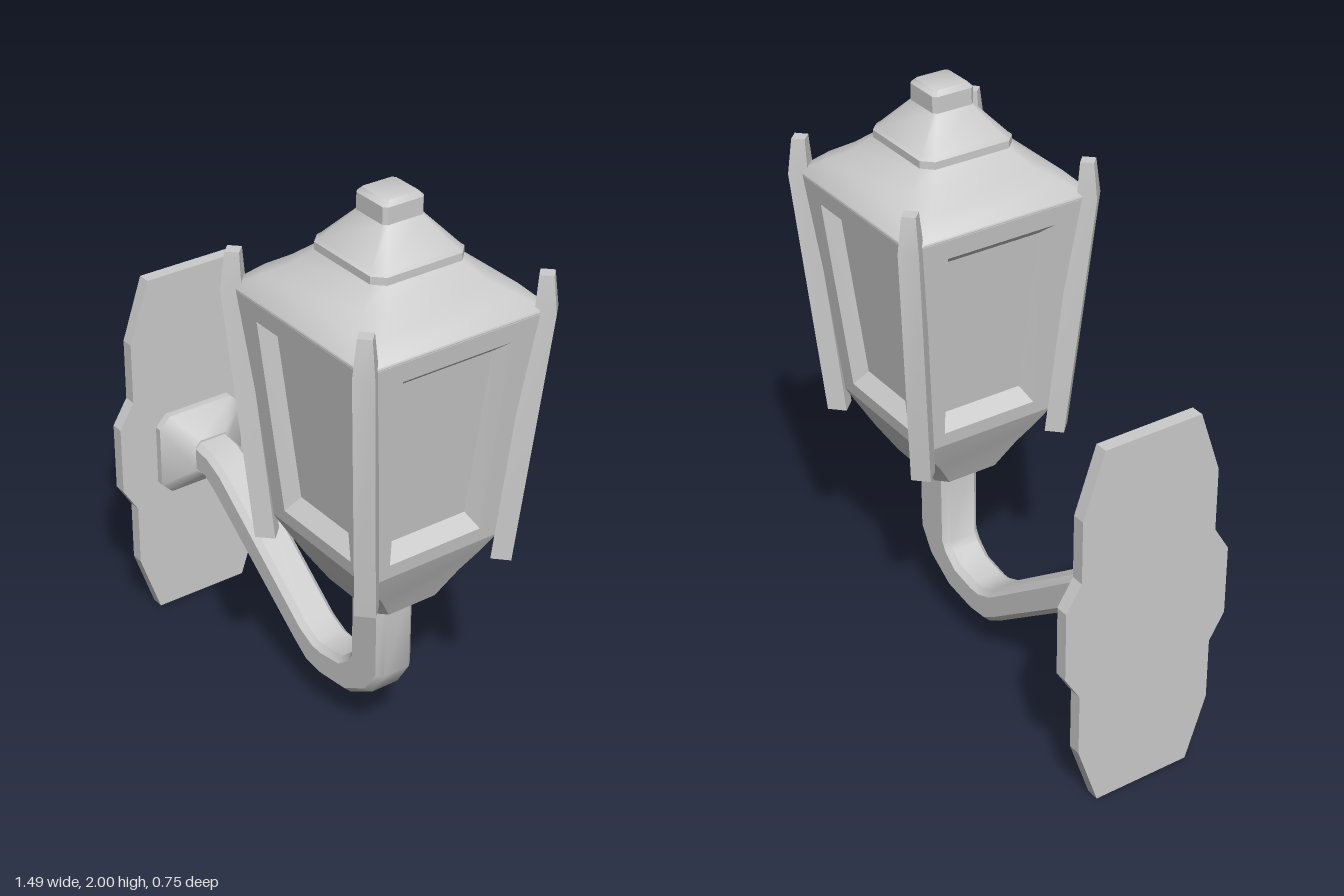
import * as THREE from 'three';
import { toCreasedNormals } from 'three/addons/utils/BufferGeometryUtils.js';

const material = new THREE.MeshStandardMaterial({ color: 0xcccccc });
const AXIS_X = 0.368; // lantern centre line

function addMesh(parent, name, geometry) {
  const mesh = new THREE.Mesh(geometry, material);
  mesh.name = name;
  parent.add(mesh);
  return mesh;
}

// Skin closed rings of [x, y, z] points and cap the ends
function loft(rings, crease = 0.5, startCap = true) {
  const pos = [];
  const n = rings[0].length;
  const tri = (a, b, c) => pos.push(...a, ...b, ...c);
  for (let r = 0; r < rings.length - 1; r++) {
    const A = rings[r], B = rings[r + 1];
    for (let i = 0; i < n; i++) {
      const j = (i + 1) % n;
      tri(A[i], A[j], B[j]);
      tri(A[i], B[j], B[i]);
    }
  }
  const first = rings[0], last = rings[rings.length - 1];
  for (let i = 1; i < n - 1; i++) {
    tri(last[0], last[i], last[i + 1]);
    if (startCap) tri(first[0], first[i + 1], first[i]);
  }
  const g = new THREE.BufferGeometry();
  g.setAttribute('position', new THREE.Float32BufferAttribute(pos, 3));
  return toCreasedNormals(g, crease);
}

// Counter-clockwise rectangle with chamfered corners, half sizes a by b
const section = (a, b, c) => [
  [a, -b + c], [a, b - c], [a - c, b], [-a + c, b],
  [-a, b - c], [-a, -b + c], [-a + c, -b], [a - c, -b],
];

// Horizontal ring around the y axis
const level = (y, hx, hz, c) => section(hz, hx, c).map(([z, x]) => [x, y, z]);

function buildBackPlate() {
  const half = [[0.175, 0], [0.25, 0.22], [0.25, 0.44], [0.305, 0.53],
    [0.305, 0.775], [0.25, 0.865], [0.25, 1.085], [0.175, 1.305]];
  const outline = [...half, ...half.map(([z, y]) => [-z, y]).reverse()];
  const shape = new THREE.Shape(outline.map(([z, y]) => new THREE.Vector2(z, y)));
  const g = new THREE.ExtrudeGeometry(shape, { depth: 0.045, bevelEnabled: false });
  return g.rotateY(Math.PI / 2).translate(-0.745, 0, 0);
}

function buildWallMount() {
  const ring = (x, a, b, c) => section(a, b, c).map(([y, z]) => [x, 0.63 + y, z]);
  return loft([ring(-0.71, 0.15, 0.165, 0.04), ring(-0.675, 0.15, 0.165, 0.04), ring(-0.6, 0.065, 0.07, 0.02)]);
}

function buildArm() {
  // Upper edge and lower edge of the arm at each bend: x, y, x, y
  const stations = [
    [-0.62, 0.69, -0.62, 0.57], [-0.53, 0.68, -0.55, 0.57], [-0.45, 0.645, -0.5, 0.54],
    [0.02, 0.295, -0.03, 0.2], [0.09, 0.265, 0.04, 0.155], [0.13, 0.265, 0.13, 0.145],
    [0.22, 0.28, 0.27, 0.165], [0.265, 0.315, 0.39, 0.24], [0.283, 0.34, 0.448, 0.335],
    [0.283, 0.65, 0.448, 0.65],
  ];
  return loft(stations.map(([tx, ty, bx, by]) => {
    const h = Math.hypot(tx - bx, ty - by) / 2;
    return section(h, 0.07, 0.02).map(([u, z]) => {
      const t = (u / h + 1) / 2;
      return [bx + (tx - bx) * t, by + (ty - by) * t, z];
    });
  }), 0.7);
}

// One tapered wall with a bevelled, recessed pane, facing +z
function buildWall() {
  const wallAt = (y) => 0.25 + (0.34 - 0.25) * (y - 0.86) / (1.655 - 0.86);
  const ring = (bottomHalf, bottom, topHalf, top, depth) => [
    [-bottomHalf, bottom, wallAt(bottom) - depth], [bottomHalf, bottom, wallAt(bottom) - depth],
    [topHalf, top, wallAt(top) - depth], [-topHalf, top, wallAt(top) - depth],
  ];
  return loft([
    ring(0.25, 0.86, 0.34, 1.655, 0),
    ring(0.172, 0.91, 0.198, 1.585, 0),
    ring(0.145, 0.958, 0.172, 1.54, 0.05),
  ], 0.3, false);
}

// Leaning corner post with a pinched tip; radius is the half diagonal
function buildPost() {
  const ring = (y, d, r) => [[d, y, d + r], [d + r, y, d], [d, y, d - r], [d - r, y, d]];
  return loft([ring(0.785, 0.261, 0.046), ring(1.65, 0.327, 0.046), ring(1.77, 0.325, 0.031)], 0.3);
}

export function createModel() {
  const model = new THREE.Group();
  model.name = 'wallLantern';

  // Wall bracket
  addMesh(model, 'backPlate', buildBackPlate());
  addMesh(model, 'wallMount', buildWallMount());
  addMesh(model, 'arm', buildArm());

  const lantern = new THREE.Group();
  lantern.name = 'lantern';
  lantern.position.x = AXIS_X;
  model.add(lantern);

  // Funnel under the glass
  addMesh(lantern, 'funnel', loft([
    level(0.635, 0.15, 0.125, 0.035), level(0.73, 0.19, 0.185, 0.035),
    level(0.79, 0.22, 0.215, 0.02), level(0.86, 0.25, 0.25, 0.003),
  ]));

  // Four walls and four corner posts
  const wall = buildWall(), post = buildPost();
  for (let i = 0; i < 4; i++) {
    addMesh(lantern, 'windowWall', wall).rotation.y = i * Math.PI / 2;
    addMesh(lantern, 'cornerPost', post).rotation.y = i * Math.PI / 2;
  }

  // Stepped roof and finial: height, half width, corner chamfer
  const roof = [
    [1.65, 0.34, 0.01], [1.66, 0.338, 0.02], [1.71, 0.29, 0.05], [1.75, 0.23, 0.05], [1.8, 0.17, 0.035],
    [1.825, 0.17, 0.035], [1.835, 0.158, 0.03], [1.93, 0.074, 0.012], [1.985, 0.074, 0.012], [2, 0.06, 0.01],
  ];
  addMesh(lantern, 'roof', loft(roof.map(([y, h, c]) => level(y, h, h, c)), 0.7));

  return model;
}
